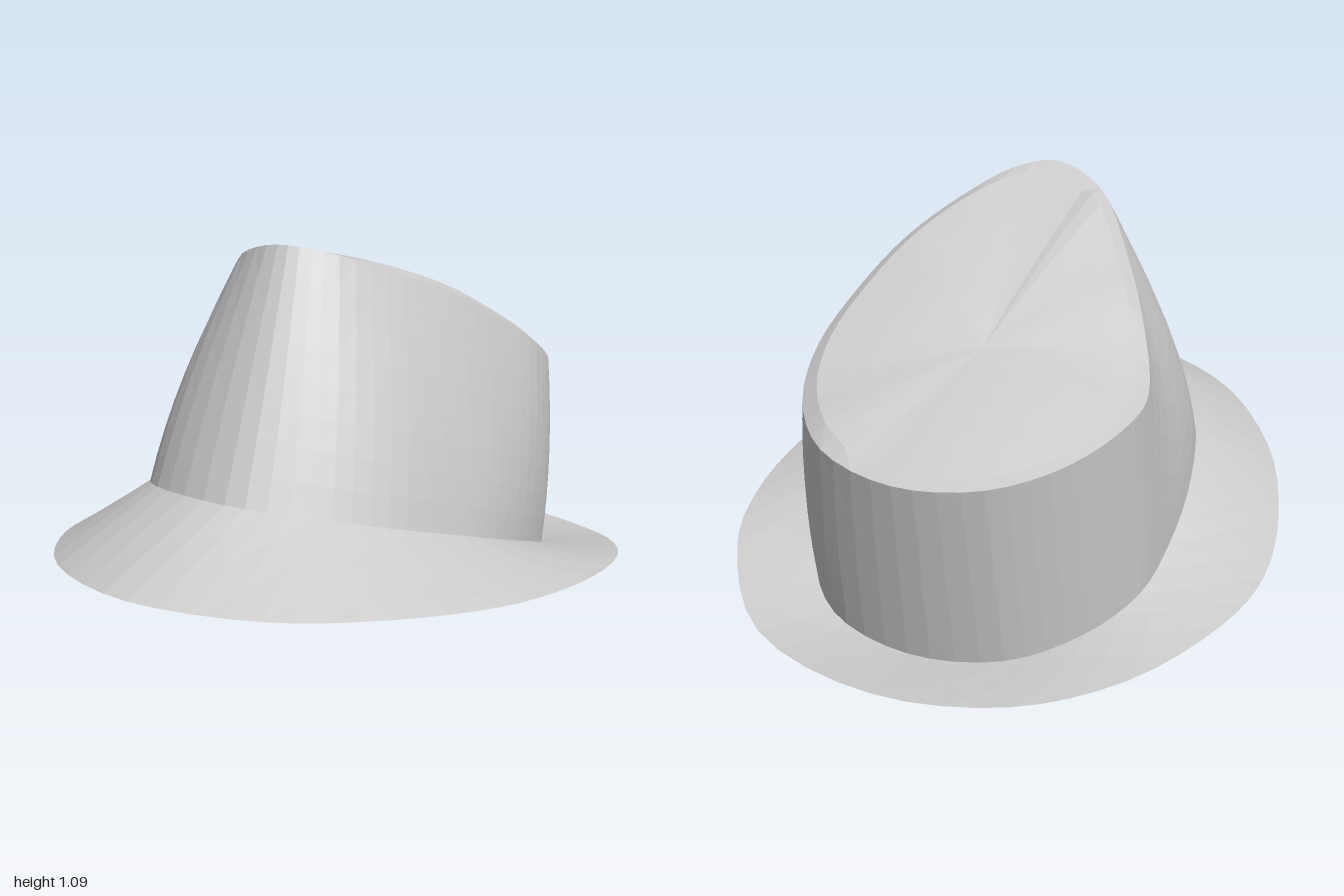
import * as THREE from 'three';

const SEGMENTS = 64;

// Closed outlines: x, y, z triples, starting at the front and running via +x to the back
const brimEdge = [
  [0.08, 0.28, 1], [0.42, 0.265, 0.885], [0.63, 0.237, 0.63], [0.765, 0.205, 0.32],
  [0.8, 0.172, 0], [0.76, 0.135, -0.33], [0.66, 0.1, -0.58], [0.4, 0.035, -0.875],
  [-0.03, 0.022, -1], [-0.38, 0.02, -0.9], [-0.62, 0.05, -0.7], [-0.77, 0.095, -0.4],
  [-0.8, 0.118, -0.15], [-0.74, 0.155, 0.17], [-0.59, 0.21, 0.52], [-0.3, 0.257, 0.855],
];
// The crown base lies on a gently sloping surface, so its height follows from z
const crownBase = [
  [0.1, 0.63], [0.3, 0.515], [0.43, 0.345], [0.505, 0.12],
  [0.53, -0.05], [0.51, -0.28], [0.43, -0.52], [0.27, -0.69],
  [0, -0.76], [-0.27, -0.71], [-0.44, -0.57], [-0.53, -0.4],
  [-0.54, -0.21], [-0.505, 0.05], [-0.41, 0.32], [-0.2, 0.555],
].map(([x, z]) => [x, 0.263 + 0.31 * z - 0.04 * z * z, z]);
const crownRim = [
  [0.06, 1.098, 0.335], [0.17, 1.08, 0.275], [0.27, 1.02, 0.12], [0.35, 0.94, -0.08],
  [0.4, 0.84, -0.27], [0.42, 0.73, -0.47], [0.37, 0.64, -0.64], [0.22, 0.585, -0.8],
  [-0.03, 0.56, -0.87], [-0.27, 0.575, -0.82], [-0.44, 0.62, -0.68], [-0.53, 0.68, -0.47],
  [-0.525, 0.71, -0.36], [-0.42, 0.81, -0.14], [-0.285, 0.92, 0.07], [-0.11, 1.05, 0.275],
];

// Sample a smooth closed loop through an outline
function loop(points) {
  const curve = new THREE.CatmullRomCurve3(points.map((p) => new THREE.Vector3(...p)), true);
  return Array.from({ length: SEGMENTS }, (_, i) => curve.getPoint(i / SEGMENTS));
}

// Rows of points blended from loop a to loop b, with an optional adjustment
function blend(a, b, steps, adjust = () => {}) {
  return Array.from({ length: steps + 1 }, (_, r) => a.map((p, i) => {
    const v = p.clone().lerp(b[i], r / steps);
    adjust(v, r / steps);
    return v;
  }));
}

// Skin consecutive loops into a faceted surface
function skin(name, rows) {
  const positions = rows.flat().flatMap((v) => [v.x, v.y, v.z]);
  const index = [];
  for (let r = 0; r < rows.length - 1; r++) {
    for (let i = 0; i < SEGMENTS; i++) {
      const j = (i + 1) % SEGMENTS;
      const a = r * SEGMENTS + i, b = r * SEGMENTS + j;
      const c = a + SEGMENTS, d = b + SEGMENTS;
      if ((i + r) % 2) index.push(a, b, c, b, d, c);
      else index.push(a, b, d, a, d, c);
    }
  }
  const geometry = new THREE.BufferGeometry();
  geometry.setAttribute('position', new THREE.Float32BufferAttribute(positions, 3));
  geometry.setIndex(index);
  geometry.computeVertexNormals();
  const material = new THREE.MeshStandardMaterial({
    color: 0xcccccc, flatShading: true, side: THREE.DoubleSide,
  });
  const mesh = new THREE.Mesh(geometry, material);
  mesh.name = name;
  return mesh;
}

export function createModel() {
  const hat = new THREE.Group();
  hat.name = 'hat';
  const edge = loop(brimEdge), base = loop(crownBase), rim = loop(crownRim);
  const arc = (t) => 4 * t * (1 - t);
  const { smoothstep } = THREE.MathUtils;

  // Brim: a plain sloping band from its edge to the crown
  hat.add(skin('brim', blend(edge, base, 4)));

  // Crown wall: bulges slightly on the +x side and at the front towards -x
  hat.add(skin('crownWall', blend(base, rim, 8, (v, t) => {
    if (v.x > 0) v.x *= 1 + 0.04 * arc(t);
    const facing = (v.z + 0.15 - v.x) / Math.hypot(v.x, v.z + 0.15) / Math.SQRT2;
    const push = 0.028 * arc(t) * Math.max(0, facing) ** 4;
    v.x -= push;
    v.z += push * 0.5;
  })));

  // Crown top: a narrow bevel rising from the rim, then a gently domed sloping panel
  const centre = new THREE.Vector3(-0.06, 0.775, -0.4);
  const bevel = rim.map((p) => {
    const v = p.clone().lerp(centre, 0.08);
    const left = smoothstep(-p.x, 0.05, 0.15) * smoothstep(p.z, -0.3, 0);
    v.y += 0.025 * Math.max(smoothstep(p.x, 0.05, 0.3), left);
    return v;
  });
  const panel = blend(bevel, bevel.map(() => centre), 6, (v, t) => {
    v.y += 0.012 * arc(t);
  });
  hat.add(skin('crownTop', [rim, ...panel]));

  return hat;
}
